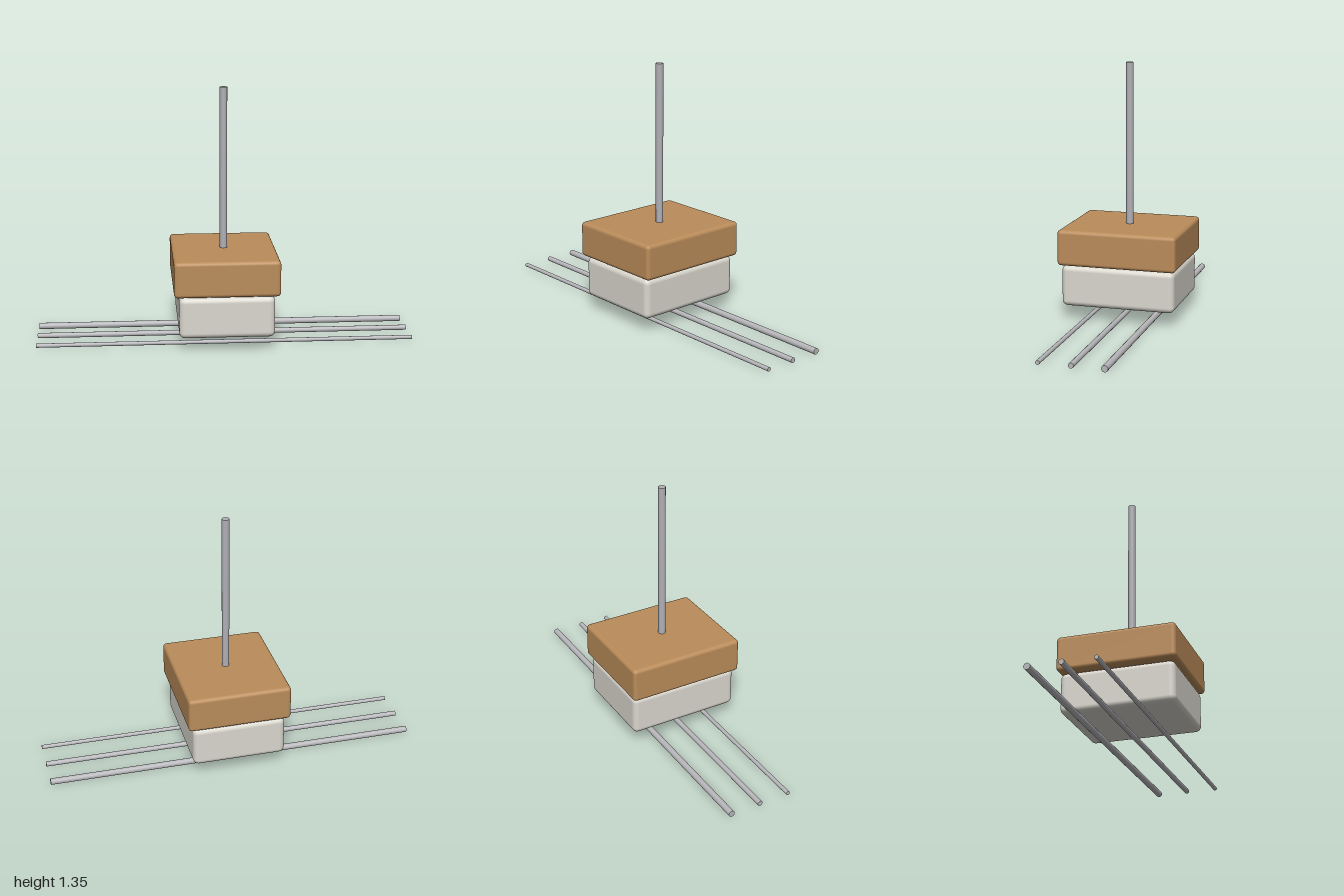
import * as THREE from 'three';
import { RoundedBoxGeometry } from 'three/addons/geometries/RoundedBoxGeometry.js';

const material = (name, color) => {
  const m = new THREE.MeshStandardMaterial({ color });
  m.name = name;
  return m;
};

export function createModel() {
  const group = new THREE.Group();
  const wood = material('wood', 0xba8c5a);
  const felt = material('felt', 0xdad7ce);
  const steel = material('steel', 0xb8b8bc);
  const rodMetal = material('rodMetal', 0xb0b0b6);

  const add = (name, geometry, mat, x, y, z) => {
    const mesh = new THREE.Mesh(geometry, mat);
    mesh.name = name;
    mesh.position.set(x, y, z);
    group.add(mesh);
    return mesh;
  };

  // Three strings along x, thicker towards the back
  [[0.167, 0.011], [0, 0.014], [-0.167, 0.017]].forEach(([z, r], i) => {
    const string = add(`string${i + 1}`, new THREE.CylinderGeometry(r, r, 2, 16), steel, 0, 0.017, z);
    string.rotation.z = Math.PI / 2;
  });

  // Soft pad hanging just above the strings
  add('feltPad', new RoundedBoxGeometry(0.5, 0.22, 0.61, 4, 0.03), felt, 0, 0.187, 0);

  // Wooden block on the pad
  add('woodBlock', new RoundedBoxGeometry(0.554, 0.19, 0.638, 4, 0.02), wood, 0, 0.396, 0);

  // Upright rod set into the block
  add('rod', new THREE.CylinderGeometry(0.02, 0.02, 0.88, 16), rodMetal, 0, 0.912, 0);

  return group;
}
